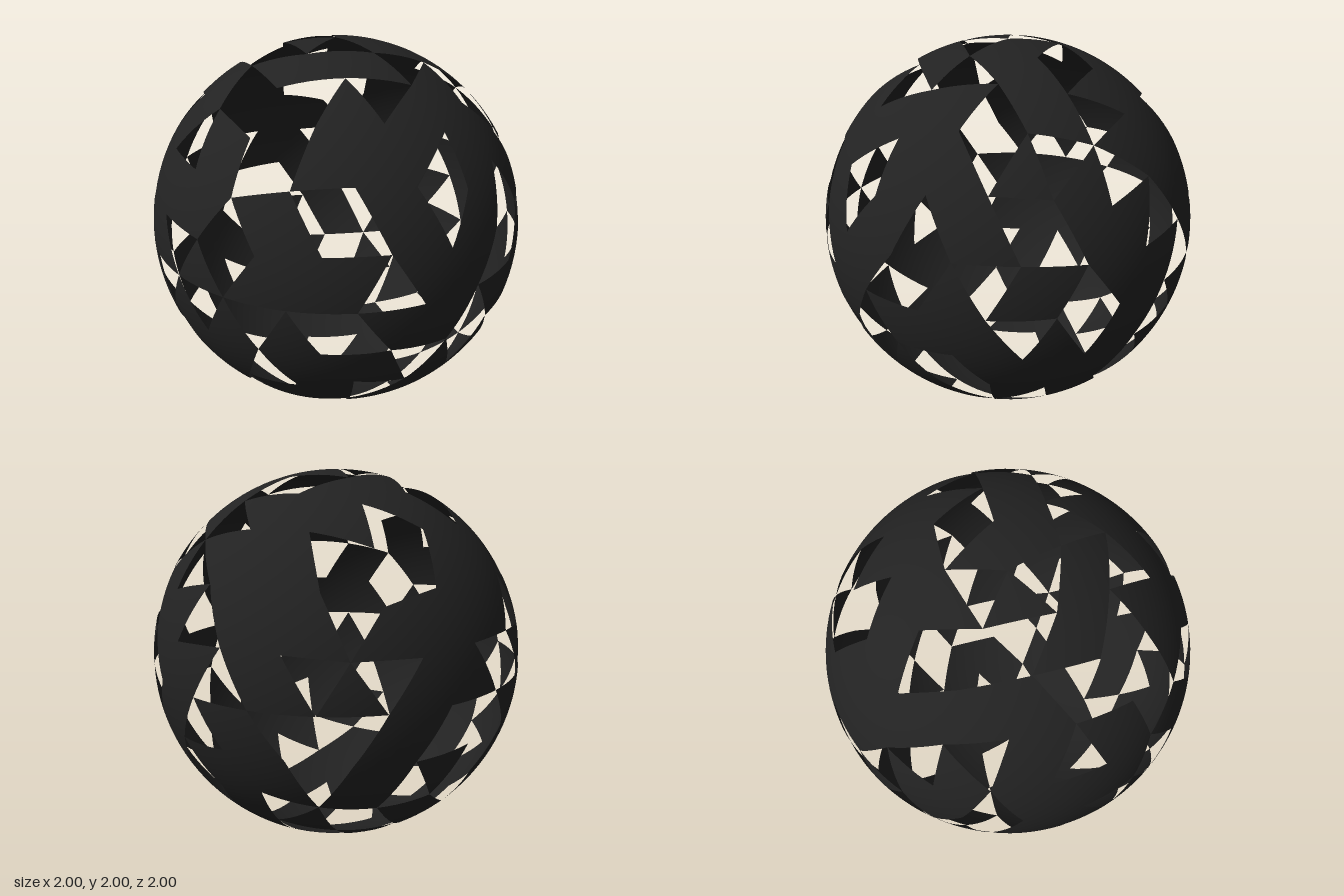
import * as THREE from 'three';
import { mergeGeometries } from 'three/addons/utils/BufferGeometryUtils.js';

// Curved triangular panels left open, listed per horizontal band from top to bottom.
// Cap bands count panels sector by sector; middle bands count panels every 9 degrees from +z.
const OPEN = [
  [2, 4],
  [0, 3, 4, 8, 9, 10],
  [2, 5, 10, 13, 18, 19, 20, 21, 23],
  [3, 5, 7, 12, 13, 14, 15, 20, 22, 25, 28, 29, 34],
  [1, 4, 7, 8, 12, 17, 24, 28, 34, 37, 38],
  [3, 4, 6, 9, 13, 16, 18, 22, 23, 25, 27, 28, 32, 34, 39],
  [2, 7, 9, 12, 15, 16, 17, 20, 21, 22, 26, 28, 31, 33, 35, 37, 38],
  [0, 2, 4, 5, 11, 16, 19, 21, 22, 28, 31, 35],
  [1, 4, 7, 9, 10, 13, 15, 18, 24, 28, 34],
  [1, 2, 3, 5, 6, 8, 10, 13, 19, 21, 23, 24],
  [0, 8, 9],
  [1, 2, 4],
];
const DETAIL = 6;

// Icosahedron corners: two poles and two rings of five
const NORTH = new THREE.Vector3(0, 1, 0);
const SOUTH = new THREE.Vector3(0, -1, 0);
const ring = (startDeg, y) => (s) => {
  const a = THREE.MathUtils.degToRad(startDeg + 72 * s);
  const r = Math.sqrt(1 - y * y);
  return new THREE.Vector3(r * Math.sin(a), y, r * Math.cos(a));
};
const upper = ring(18, 1 / Math.sqrt(5));
const lower = ring(54, -1 / Math.sqrt(5));

// Point part-way along a great-circle arc
function slerp(a, b, t) {
  const angle = a.angleTo(b);
  if (angle < 1e-6) return a.clone();
  return a.clone().multiplyScalar(Math.sin((1 - t) * angle) / Math.sin(angle))
    .addScaledVector(b, Math.sin(t * angle) / Math.sin(angle));
}

// Vertex k on one ring of a polar cap, n steps away from the pole
function capVertex(pole, corner, n, k) {
  if (n === 0) return pole.clone();
  const s = Math.floor(k / n);
  return slerp(slerp(pole, corner(s), n / 4), slerp(pole, corner(s + 1), n / 4), k / n - s);
}

// Vertex k on row r (0 = north pole, 6 = equator, 12 = south pole)
function vertex(r, k) {
  if (r <= 4) return capVertex(NORTH, upper, r, k);
  if (r >= 8) return capVertex(SOUTH, lower, 12 - r, k);
  const u = (r - 4) / 4, s = Math.floor(k / 4), m = k - 4 * s, split = 8 - r;
  const middle = slerp(upper(s + 1), lower(s), u);
  if (m <= split) return slerp(slerp(upper(s), lower(s), u), middle, m / split);
  return slerp(middle, slerp(upper(s + 1), lower(s + 1), u), (m - split) / (r - 4));
}

// Spherical triangle panel with smooth outward normals
function panel(a, b, c) {
  if (a.clone().cross(b).dot(c) < 0) [b, c] = [c, b];
  const pos = [], index = [];
  const id = (i, j) => (i * (i + 1)) / 2 + j;
  for (let i = 0; i <= DETAIL; i++) {
    for (let j = 0; j <= i; j++) {
      const p = a.clone().multiplyScalar(DETAIL - i)
        .addScaledVector(b, i - j).addScaledVector(c, j).normalize();
      pos.push(p.x, p.y, p.z);
      if (i < DETAIL) index.push(id(i, j), id(i + 1, j), id(i + 1, j + 1));
      if (i < DETAIL && j < i) index.push(id(i, j), id(i + 1, j + 1), id(i, j + 1));
    }
  }
  const g = new THREE.BufferGeometry();
  g.setAttribute('position', new THREE.Float32BufferAttribute(pos, 3));
  g.setAttribute('normal', new THREE.Float32BufferAttribute(pos, 3));
  g.setIndex(index);
  return g;
}

function bandPanels(band) {
  const open = new Set(OPEN[band]), out = [];
  const add = (cell, ...corners) => {
    if (!open.has(cell)) out.push(panel(...corners.map(([r, k]) => vertex(r, k))));
  };
  if (band >= 4 && band < 8) {
    // Belt: alternating downward and upward panels
    for (let k = 0; k < 20; k++) {
      add((band - 1 + 2 * k) % 40, [band, k], [band, k + 1], [band + 1, k]);
      add((band + 2 * k) % 40, [band, k + 1], [band + 1, k], [band + 1, k + 1]);
    }
    return out;
  }
  // Caps: five sectors, widening away from the pole
  const n = band < 4 ? band : 11 - band;
  const inner = band < 4 ? n : 12 - n;
  const outer = band < 4 ? n + 1 : 11 - n;
  for (let s = 0; s < 5; s++) {
    for (let i = 0; i <= 2 * n; i++) {
      const m = Math.floor(i / 2), p = s * n + m, q = s * (n + 1) + m;
      const cell = s * (2 * n + 1) + i;
      if (i % 2) add(cell, [inner, p], [inner, p + 1], [outer, q + 1]);
      else add(cell, [inner, p], [outer, q], [outer, q + 1]);
    }
  }
  return out;
}

export function createModel() {
  const model = new THREE.Group();
  model.name = 'openworkSphere';
  const material = new THREE.MeshStandardMaterial({ color: 0x222222, side: THREE.DoubleSide });
  for (let band = 0; band < 12; band++) {
    const mesh = new THREE.Mesh(mergeGeometries(bandPanels(band)), material);
    mesh.name = `panelBand${band + 1}`;
    mesh.position.y = 1;
    model.add(mesh);
  }
  return model;
}
